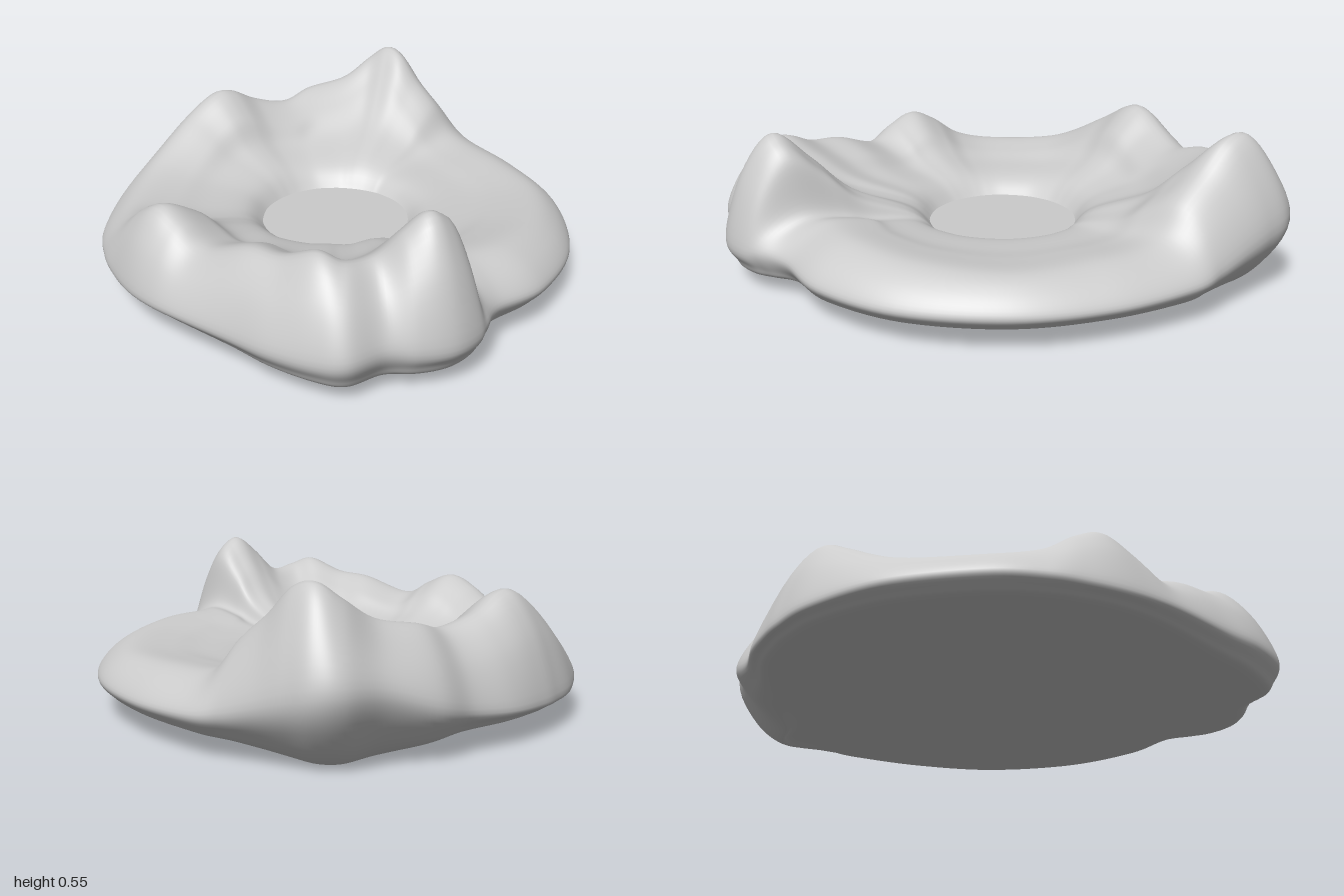
import * as THREE from 'three';

// Rim stations: angle in degrees (from +x towards +z), outer radius, crest height
const STATIONS = [
  [0, .855, .225], [24, .855, .235], [45, .85, .25], [60, .83, .255],
  [67, .89, .27], [70.5, .93, .44], [75, .96, .505], [79, .97, .52],
  [84, .965, .465], [90, .95, .385], [97, 1.005, .395], [103, .985, .42],
  [112, .93, .37], [122, .87, .355], [137, .842, .30], [146, .845, .35],
  [154, .85, .385], [162, .852, .345], [171, .856, .27], [184, .857, .24],
  [205, .865, .27], [223, .877, .38], [234, .878, .455], [241, .878, .455],
  [250, .88, .40], [261, .885, .37], [270, .94, .40], [281, .98, .43],
  [288, 1.045, .50], [293, 1.05, .55], [298, 1.01, .53], [304, .965, .44],
  [311, .93, .36], [319, .91, .25], [338, .865, .23],
];
const POOL_R = 0.27, POOL_Z = -0.03, POOL_Y = 0.135;

// Smooth hump of height 1 around a given angle
const hump = (deg, centre, width) => Math.exp(-(((deg - centre) / width) ** 2));

// Cross-section at one station, from the pool edge over the crest to the base
function section([deg, R, H]) {
  const front = hump(deg, 88, 32), back = hump(deg, 288, 20);
  const crest = R - 0.12 - 0.06 * Math.abs(Math.sin(THREE.MathUtils.degToRad(deg)));
  const widest = 0.13 + 0.04 * front + 0.12 * back;
  const under = 0.068 - 0.025 * front - 0.065 * back;
  const rise = H - 0.23;
  return [
    [POOL_R - 0.015, 0.12],
    [0.34, 0.185 + 0.08 * rise],
    [(POOL_R + crest) / 2, 0.205 + 0.32 * rise],
    [crest - 0.13, 0.22 + 0.7 * rise],
    [crest, H],
    [crest + 0.62 * (R - crest), H * 0.62 + widest * 0.38],
    [R, widest],
    [R - 0.025 - 0.06 * back, under * 0.65 + widest * 0.35],
    [R - 0.075 - 0.12 * back, under],
    [R - 0.27, under * 0.6 + 0.018],
    [R * 0.4, 0.033],
    [0, 0.03],
  ];
}

// Closed rails run round the ring, one for each point of the section
function makeRails() {
  const rings = STATIONS.map((station) => {
    const a = THREE.MathUtils.degToRad(station[0]);
    return section(station).map(([r, y]) => {
      const shift = POOL_Z * Math.max(0, 1 - Math.max(0, r - POOL_R) / 0.35);
      return new THREE.Vector3(r * Math.cos(a), y, r * Math.sin(a) + shift);
    });
  });
  return rings[0].map((_, k) =>
    new THREE.CatmullRomCurve3(rings.map((ring) => ring[k]), true, 'catmullrom', 0.5));
}

// Skin the rails with a smooth profile at each step round the ring
function basinGeometry(around = 280, across = 66) {
  const rails = makeRails();
  const positions = [], index = [];
  const row = across + 1;
  for (let i = 0; i < around; i++) {
    const profile = new THREE.CatmullRomCurve3(
      rails.map((rail) => rail.getPoint(i / around)), false, 'catmullrom', 0.5);
    for (let j = 0; j <= across; j++) positions.push(...profile.getPoint(j / across).toArray());
    for (let j = 0; j < across; j++) {
      const a = i * row + j, b = ((i + 1) % around) * row + j;
      index.push(a, b, a + 1, b, b + 1, a + 1);
    }
  }
  const geometry = new THREE.BufferGeometry();
  geometry.setAttribute('position', new THREE.Float32BufferAttribute(positions, 3));
  geometry.setIndex(index);
  geometry.computeVertexNormals();
  return geometry;
}

export function createModel() {
  const group = new THREE.Group();
  group.name = 'rockBasin';
  const material = new THREE.MeshStandardMaterial({ color: 0xcccccc, side: THREE.DoubleSide });

  // Lumpy rim with its underside
  const basin = new THREE.Mesh(basinGeometry(), material);
  basin.name = 'basinRim';
  group.add(basin);

  // Flat disc filling the hollow
  const pool = new THREE.Mesh(new THREE.CircleGeometry(POOL_R + 0.005, 64), material);
  pool.name = 'poolSurface';
  pool.rotation.x = -Math.PI / 2;
  pool.position.set(0, POOL_Y, POOL_Z);
  group.add(pool);

  return group;
}
